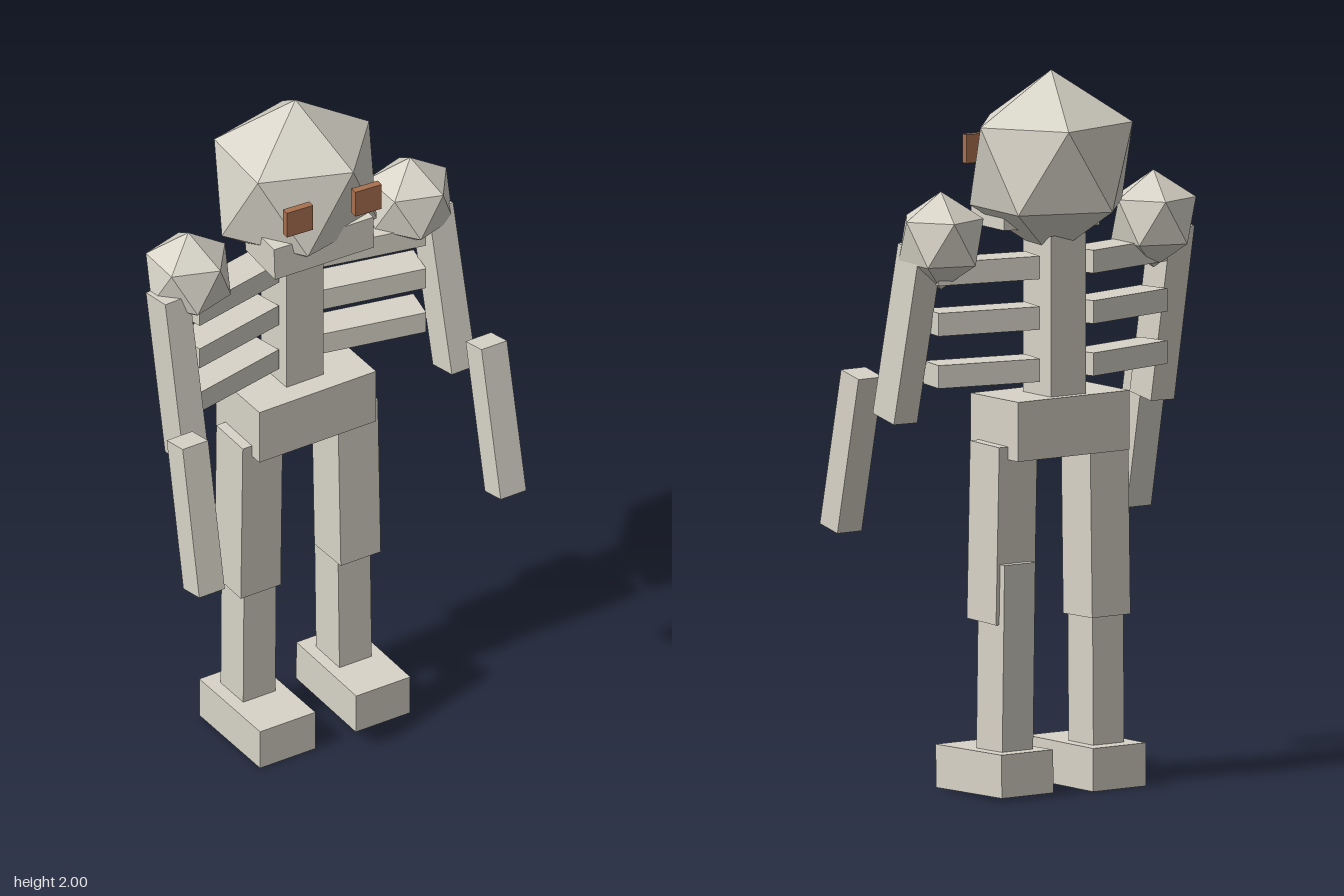
import * as THREE from 'three';

export function createModel() {
  const model = new THREE.Group();
  model.name = 'skeleton';

  const bone = new THREE.MeshStandardMaterial({ color: 0xd8d4c8, flatShading: true });
  bone.name = 'bone';
  const rust = new THREE.MeshStandardMaterial({ color: 0xa87050, flatShading: true });
  rust.name = 'rust brown';

  function add(name, geometry, material, pos, rot = [0, 0, 0]) {
    const mesh = new THREE.Mesh(geometry, material);
    mesh.name = name;
    mesh.position.set(...pos);
    mesh.rotation.set(...rot);
    model.add(mesh);
    return mesh;
  }
  const box = (name, size, pos, rot, material = bone) =>
    add(name, new THREE.BoxGeometry(...size), material, pos, rot);

  // Icosahedron standing on a vertex, with one upper vertex towards +x
  function ball(name, radii, pos, yaw) {
    const g = new THREE.IcosahedronGeometry(1, 0);
    g.rotateZ(-Math.atan(2 / (1 + Math.sqrt(5))));
    g.scale(...radii);
    return add(name, g, bone, pos, [0, yaw, 0]);
  }

  // Head, turned slightly, with jaw and eyes
  const headYaw = -0.07;
  ball('skull', [0.257, 0.26, 0.238], [0.004, 1.74, -0.09], headYaw);
  box('jaw', [0.31, 0.1, 0.17], [-0.005, 1.61, -0.005], [0, headYaw, 0.03]);
  box('rightEye', [0.082, 0.08, 0.022], [-0.119, 1.765, 0.116], [0, headYaw, 0], rust);
  box('leftEye', [0.082, 0.08, 0.022], [0.095, 1.765, 0.13], [0, headYaw, 0], rust);

  // Trunk
  box('spine', [0.12, 0.47, 0.13], [0, 1.315, -0.1]);
  box('pelvis', [0.38, 0.165, 0.22], [0, 1.022, -0.08]);

  for (const side of [-1, 1]) {
    const s = side < 0 ? 'right' : 'left';
    // Ribs sweep outward and forward
    [1.467, 1.327, 1.182].forEach((y, i) =>
      box(`${s}Rib${i + 1}`, [0.305, 0.064, 0.1], [side * 0.23 + 0.005, y, -0.083], [0, -side * 0.21, 0]));
  }

  // Arms, posed a little differently on each side
  ball('rightShoulder', [0.131, 0.136, 0.131], [-0.348, 1.555, -0.085], -0.03);
  ball('leftShoulder', [0.131, 0.136, 0.131], [0.365, 1.555, -0.07], 0);
  box('rightUpperArm', [0.08, 0.495, 0.1], [-0.425, 1.29, -0.02], [-0.15, 0, 0.03]);
  box('leftUpperArm', [0.08, 0.495, 0.1], [0.425, 1.295, 0.003], [-0.21, 0, 0.02]);
  box('rightForearm', [0.083, 0.45, 0.083], [-0.478, 0.943, 0.157], [-0.19, 0, 0]);
  box('leftForearm', [0.083, 0.45, 0.083], [0.473, 0.95, 0.198], [-0.22, 0, 0]);

  // Legs
  box('rightThigh', [0.13, 0.5, 0.135], [-0.155, 0.725, -0.08], [0.02, 0, 0]);
  box('leftThigh', [0.13, 0.495, 0.135], [0.155, 0.73, -0.068], [-0.03, 0, 0]);
  box('rightShin', [0.105, 0.53, 0.115], [-0.153, 0.38, -0.083], [0.01, 0, 0]);
  box('leftShin', [0.105, 0.53, 0.12], [0.157, 0.385, -0.088], [-0.02, 0, 0]);
  box('rightFoot', [0.18, 0.12, 0.31], [-0.155, 0.061, -0.035]);
  box('leftFoot', [0.176, 0.12, 0.305], [0.158, 0.067, -0.037], [0.02, 0, 0]);

  return model;
}
